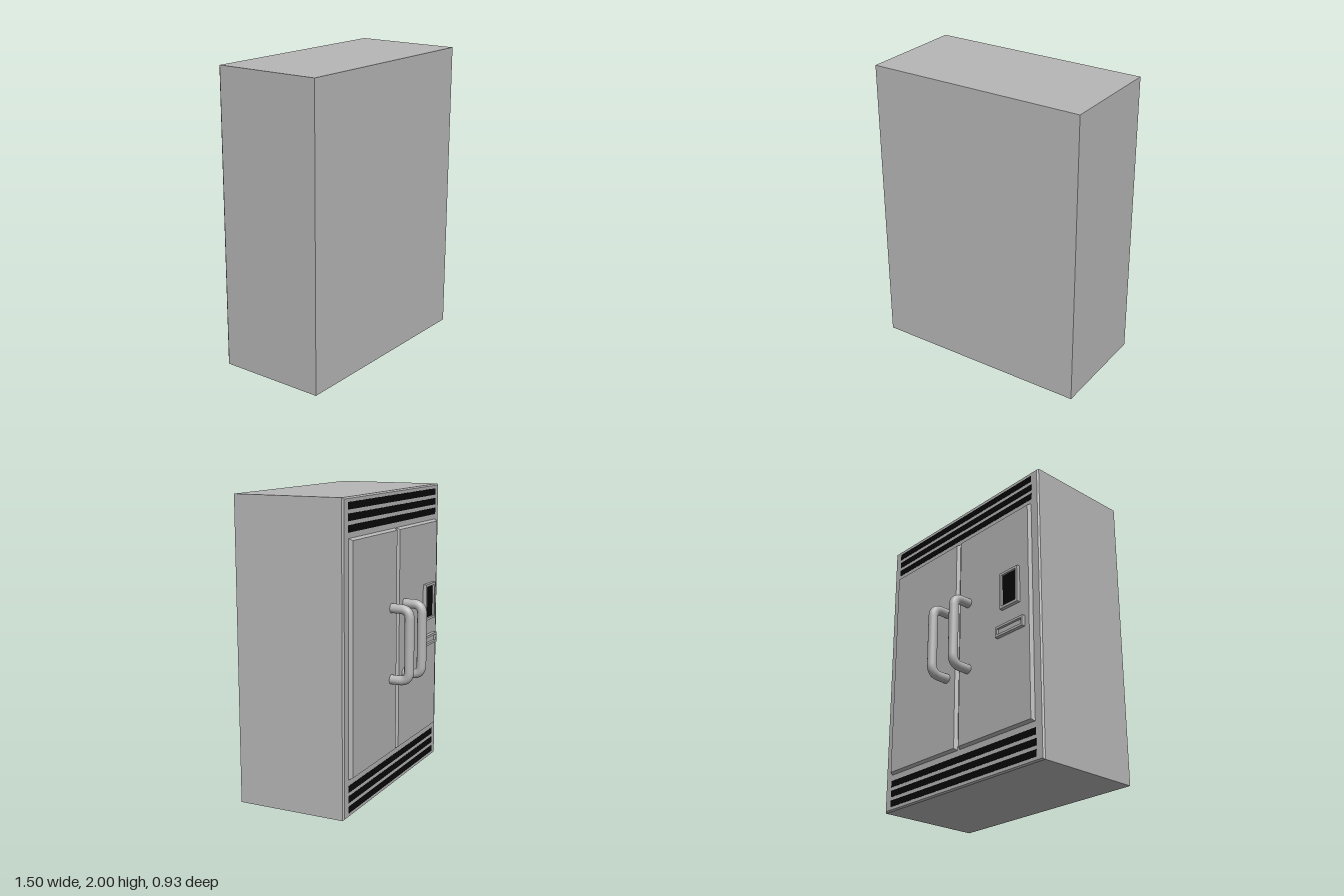
import * as THREE from 'three';

export function createModel() {
  const group = new THREE.Group();
  group.name = 'doubleDoorRefrigerator';
  const steel = new THREE.MeshStandardMaterial({ name: 'brushedSteel', color: 0xb6b6b6 });
  const black = new THREE.MeshStandardMaterial({ name: 'black', color: 0x080808 });

  const add = (name, geometry, material = steel) => {
    const mesh = new THREE.Mesh(geometry, material);
    mesh.name = name;
    group.add(mesh);
    return mesh;
  };

  // Block between two corners; its -z face is drawn in by inset to form a chamfer
  function block(name, x0, x1, y0, y1, z0, z1, inset = 0, material = steel) {
    const geo = new THREE.BoxGeometry(x1 - x0, y1 - y0, z1 - z0);
    const p = geo.attributes.position;
    for (let i = 0; i < p.count; i++) {
      if (p.getZ(i) > 0) continue;
      p.setX(i, p.getX(i) - Math.sign(p.getX(i)) * inset);
      p.setY(i, p.getY(i) - Math.sign(p.getY(i)) * inset);
    }
    geo.computeVertexNormals();
    geo.translate((x0 + x1) / 2, (y0 + y1) / 2, (z0 + z1) / 2);
    return add(name, geo, material);
  }

  // Rectangular frame standing proud of the door
  function frame(name, x0, x1, y0, y1, border, z0, z1) {
    const rect = (path, b) => path.moveTo(x0 + b, y0 + b).lineTo(x1 - b, y0 + b)
      .lineTo(x1 - b, y1 - b).lineTo(x0 + b, y1 - b).closePath();
    const shape = new THREE.Shape();
    rect(shape, 0);
    const hole = new THREE.Path();
    rect(hole, border);
    shape.holes.push(hole);
    const geo = new THREE.ExtrudeGeometry(shape, { depth: z1 - z0, bevelEnabled: false });
    geo.translate(0, 0, z0);
    return add(name, geo);
  }

  // Cabinet with a chamfered door side
  const face = -0.283, doorFace = -0.307;
  block('cabinet', -0.75, 0.75, 0, 2, -0.272, 0.467);
  block('cabinetChamfer', -0.75, 0.75, 0, 2, face, -0.272, 0.009);

  // Doors
  block('rightDoor', -0.685, -0.01, 0.25, 1.755, doorFace, face, 0.012);
  block('leftDoor', 0.01, 0.685, 0.25, 1.755, doorFace, face, 0.012);

  // Vent slots above and below the doors
  for (let i = 0; i < 3; i++) {
    for (const y of [0.052 + i * 0.068, 1.948 - i * 0.068]) {
      block('ventSlot', -0.69, 0.69, y - 0.022, y + 0.022, face - 0.002, face + 0.001, 0, black);
    }
  }

  // Bent tube handles
  const r = 0.065, zOut = -0.435, yLow = 0.765, yHigh = 1.243;
  const v = (y, z) => new THREE.Vector3(0, y, z);
  for (const x of [-0.107, 0.103]) {
    const path = new THREE.CurvePath();
    path.add(new THREE.LineCurve3(v(yLow, -0.3), v(yLow, zOut + r)));
    path.add(new THREE.QuadraticBezierCurve3(v(yLow, zOut + r), v(yLow, zOut), v(yLow + r, zOut)));
    path.add(new THREE.LineCurve3(v(yLow + r, zOut), v(yHigh - r, zOut)));
    path.add(new THREE.QuadraticBezierCurve3(v(yHigh - r, zOut), v(yHigh, zOut), v(yHigh, zOut + r)));
    path.add(new THREE.LineCurve3(v(yHigh, zOut + r), v(yHigh, -0.3)));
    add('handle', new THREE.TubeGeometry(path, 80, 0.032, 16)).position.x = x;
  }

  // Control screen and dispenser tray on the right door
  frame('screenFrame', -0.595, -0.433, 1.065, 1.32, 0.017, -0.332, doorFace);
  block('screen', -0.58, -0.448, 1.08, 1.305, -0.318, doorFace, 0, black);
  frame('trayFrame', -0.637, -0.39, 0.88, 0.952, 0.016, -0.332, doorFace);
  block('trayInset', -0.625, -0.402, 0.892, 0.94, -0.315, doorFace);

  return group;
}
